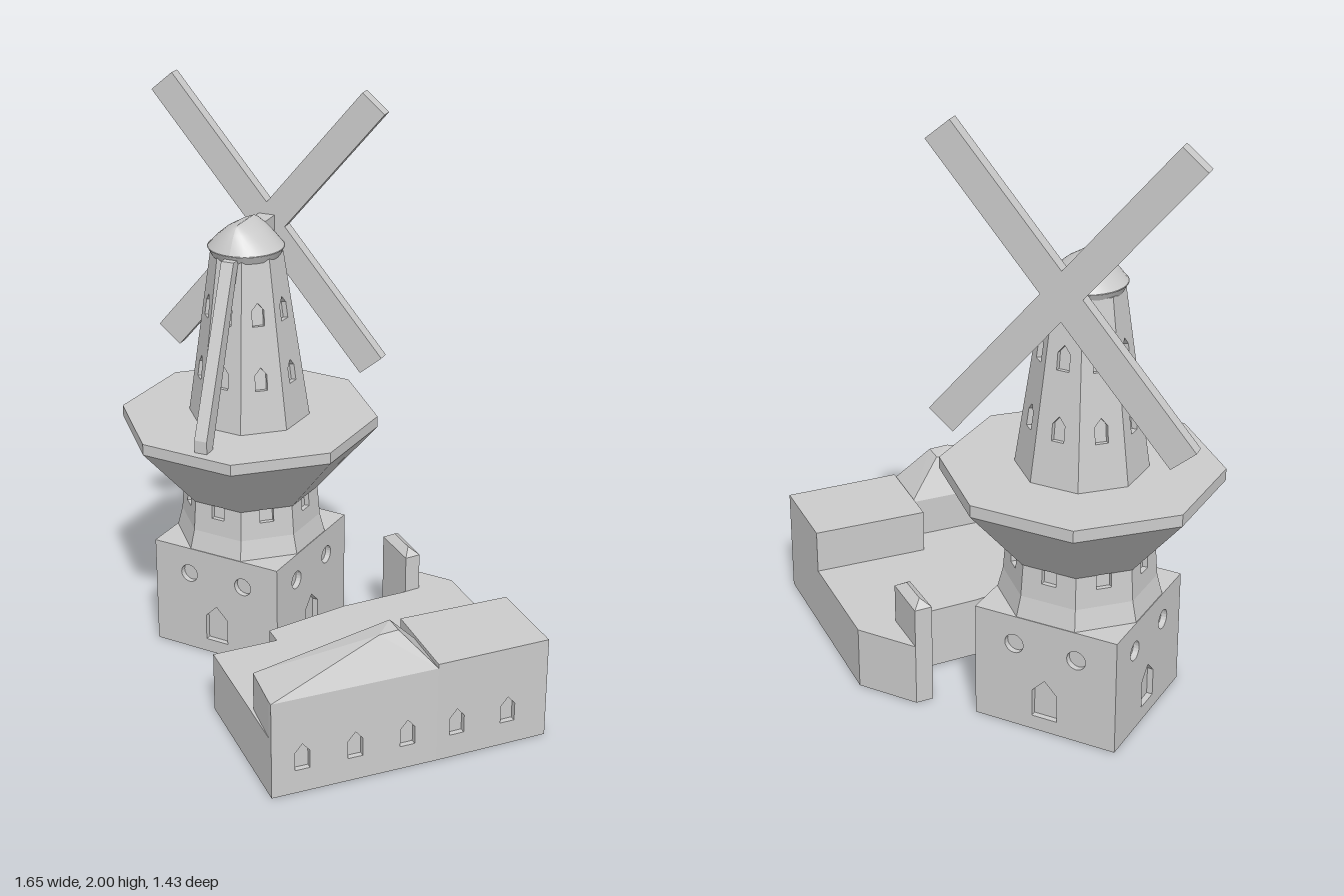
import * as THREE from 'three';
import { ConvexGeometry } from 'three/addons/geometries/ConvexGeometry.js';

const flat = new THREE.MeshStandardMaterial({ color: 0xcccccc, flatShading: true });
const smooth = new THREE.MeshStandardMaterial({ color: 0xcccccc });
const DEPTH = 0.02; // how far windows and doors are set back
const APOTHEM = Math.cos(Math.PI / 8);

function add(parent, name, geometry, material = flat) {
  const mesh = new THREE.Mesh(geometry, material);
  mesh.name = name;
  parent.add(mesh);
  return mesh;
}

const polygon = (pts) => new THREE.Shape(pts.map(([x, y]) => new THREE.Vector2(x, y)));

// pointed window or door outline, standing on y
const arch = (x, y, w, h) => polygon([
  [x - w / 2, y], [x + w / 2, y], [x + w / 2, y + h * 0.68], [x, y + h], [x - w / 2, y + h * 0.68],
]);
const square = (x, y, w, h) => polygon([
  [x - w / 2, y], [x + w / 2, y], [x + w / 2, y + h], [x - w / 2, y + h],
]);
const disc = (x, y, r) => {
  const s = new THREE.Shape();
  s.absarc(x, y, r, 0, Math.PI * 2);
  return s;
};

// pierced wall, outer face at z = 0
function wall(bottomWidth, topWidth, height, holes) {
  const shape = polygon([
    [-bottomWidth / 2, 0], [bottomWidth / 2, 0], [topWidth / 2, height], [-topWidth / 2, height],
  ]);
  shape.holes.push(...holes);
  const g = new THREE.ExtrudeGeometry(shape, { depth: DEPTH, bevelEnabled: false, curveSegments: 10 });
  return g.translate(0, 0, -DEPTH);
}

// upright prism over a plan of [x, z] points
function prism(plan, y0, y1) {
  const g = new THREE.ExtrudeGeometry(polygon(plan), { depth: y1 - y0, bevelEnabled: false });
  return g.rotateX(Math.PI / 2).translate(0, y1, 0);
}

// eight-sided frustum with a flat side to the front
function octagon(rTop, rBottom, y0, y1) {
  const g = new THREE.CylinderGeometry(rTop, rBottom, y1 - y0, 8);
  return g.rotateY(Math.PI / 8).translate(0, (y0 + y1) / 2, 0);
}

// octagonal storey of eight pierced walls around a solid core
function storey(parent, name, r0, r1, y0, y1, holes) {
  const group = new THREE.Group();
  group.name = name;
  parent.add(group);
  const a0 = r0 * APOTHEM, a1 = r1 * APOTHEM, side = 2 * Math.sin(Math.PI / 8);
  const tilt = Math.atan2(a0 - a1, y1 - y0);
  const geometry = wall(r0 * side, r1 * side, Math.hypot(a0 - a1, y1 - y0), holes)
    .rotateX(-tilt).translate(0, y0, a0);
  for (let i = 0; i < 8; i++) add(group, name + 'Wall', geometry).rotation.y = i * Math.PI / 4;
  add(group, name + 'Core', octagon(r1 - DEPTH, r0 - DEPTH, y0, y1));
}

function buildTower() {
  const tower = new THREE.Group();
  tower.name = 'tower';
  tower.position.set(-0.395, 0, -0.285);
  tower.rotation.y = -0.1;

  // square base with a door and two round windows on each side
  const baseWall = wall(0.5, 0.5, 0.4, [arch(0, 0.05, 0.088, 0.14), disc(-0.11, 0.3, 0.033), disc(0.11, 0.3, 0.033)])
    .translate(0, 0, 0.25);
  for (let i = 0; i < 4; i++) add(tower, 'baseWall', baseWall).rotation.y = i * Math.PI / 2;
  add(tower, 'baseCore', new THREE.BoxGeometry(0.46, 0.4, 0.46).translate(0, 0.2, 0));

  // flared foot and the storey under the gallery
  add(tower, 'flaredFoot', octagon(0.25, 0.268, 0.4, 0.47));
  storey(tower, 'lowerStorey', 0.25, 0.24, 0.47, 0.6, [square(0, 0.06, 0.05, 0.05)]);

  // gallery: splayed bowl and upright rim
  add(tower, 'galleryBowl', octagon(0.454, 0.245, 0.58, 0.82), smooth);
  add(tower, 'galleryRim', octagon(0.454, 0.454, 0.82, 0.86));

  // tapering upper tower with two rows of windows
  storey(tower, 'upperTower', 0.214, 0.126, 0.86, 1.46, [arch(0, 0.15, 0.042, 0.082), arch(0, 0.377, 0.042, 0.082)]);
  return tower;
}

function buildCap() {
  const cap = new THREE.Group();
  cap.name = 'cap';
  cap.position.set(-0.395, 0, -0.28);
  add(cap, 'capBrim', new THREE.CylinderGeometry(0.133, 0.118, 0.03, 32).translate(0, 1.465, 0), smooth);

  // dome drawn out to a short ridge along z
  const profile = [[0.133, 1.478], [0.1, 1.513], [0.065, 1.542], [0.03, 1.561], [0.0005, 1.568]];
  const dome = new THREE.LatheGeometry(profile.map(([x, y]) => new THREE.Vector2(x, y)), 32);
  const p = dome.attributes.position;
  for (let i = 0; i < p.count; i++) {
    const r = Math.hypot(p.getX(i), p.getZ(i));
    p.setZ(i, (p.getZ(i) / r) * (0.065 + r * 0.51));
  }
  dome.computeVertexNormals();
  add(cap, 'capDome', dome, smooth);
  return cap;
}

function buildSails() {
  const sails = new THREE.Group();
  sails.name = 'sails';
  sails.position.set(-0.395, 1.5, -0.472);
  for (const s of [-1, 1]) {
    add(sails, 'sailPair', new THREE.BoxGeometry(0.104, 1.222, 0.042)).rotation.z = s * 0.698;
  }
  add(sails, 'sailShaft', new THREE.BoxGeometry(0.06, 0.075, 0.14).translate(0, 0, 0.085));
  return sails;
}

function buildHouse() {
  const house = new THREE.Group();
  house.name = 'house';
  const d = DEPTH * 0.7;

  // low flat-roofed wing
  add(house, 'lowWing', prism([
    [0.82 - d, 0.01 - d], [0.13 - d, 0.71 - d], [-0.27, 0.3], [-0.11, 0.13], [-0.16, 0.08],
    [0.01, -0.18], [0.175, -0.365], [0.04, -0.49], [0.08, -0.535], [0.3, -0.51],
  ], 0, 0.215));

  // two taller blocks along the outer side
  add(house, 'flatBlock', prism([[0.6, -0.21], [0.82 - d, 0.01 - d], [0.54 - d, 0.3 - d], [0.32, 0.07]], 0, 0.365));
  add(house, 'roofedBlock', prism([[0, 0.56], [0.13 - d, 0.71 - d], [0.54 - d, 0.3 - d], [0.4, 0.15]], 0, 0.35));

  // outer walls with pointed windows
  const outerWall = (name, from, to, height, windowXs) => {
    const dx = to[0] - from[0], dz = to[1] - from[1], len = Math.hypot(dx, dz);
    const holes = windowXs.map((x) => arch(((x - from[0]) / dx - 0.5) * len, 0.085, 0.052, 0.095));
    const mesh = add(house, name, wall(len, len, height, holes));
    mesh.position.set((from[0] + to[0]) / 2, 0, (from[1] + to[1]) / 2);
    mesh.rotation.y = Math.atan2(-dz, dx);
  };
  outerWall('roofedBlockWall', [0.13, 0.71], [0.54, 0.3], 0.35, [0.205, 0.335, 0.465]);
  outerWall('flatBlockWall', [0.54, 0.3], [0.82, 0.01], 0.365, [0.59, 0.72]);

  // roof rising from the near end to a steep hip
  const v = (x, y, z) => new THREE.Vector3(x, y, z);
  add(house, 'hippedRoof', new ConvexGeometry([
    v(0, 0.35, 0.56), v(0.13, 0.35, 0.71), v(0.54, 0.35, 0.3), v(0.4, 0.35, 0.15),
    v(0.36, 0.48, 0.28), v(0.41, 0.48, 0.33), v(0.365, 0.48, 0.385),
  ]));

  // tall end wall with a ridged top
  const plan = [[0.04, -0.49], [0.08, -0.535], [0.21, -0.41], [0.175, -0.365]];
  add(house, 'endWall', new ConvexGeometry([
    ...plan.flatMap(([x, z]) => [v(x, 0, z), v(x, 0.35, z)]),
    v(0.085, 0.373, -0.488), v(0.165, 0.373, -0.412),
  ]));
  return house;
}

export function createModel() {
  const model = new THREE.Group();
  model.name = 'windmill';
  model.add(buildTower(), buildCap(), buildSails(), buildHouse());

  // sloping tail pole from the cap down to the gallery
  const pole = new THREE.ExtrudeGeometry(
    polygon([[-0.105, 0.86], [-0.06, 0.86], [0.17, 1.465], [0.13, 1.465], [-0.105, 0.905]]),
    { depth: 0.046, bevelEnabled: false });
  add(model, 'tailPole', pole.translate(0, 0, -0.023).rotateY(Math.PI / 2)).position.x = -0.395;
  return model;
}
